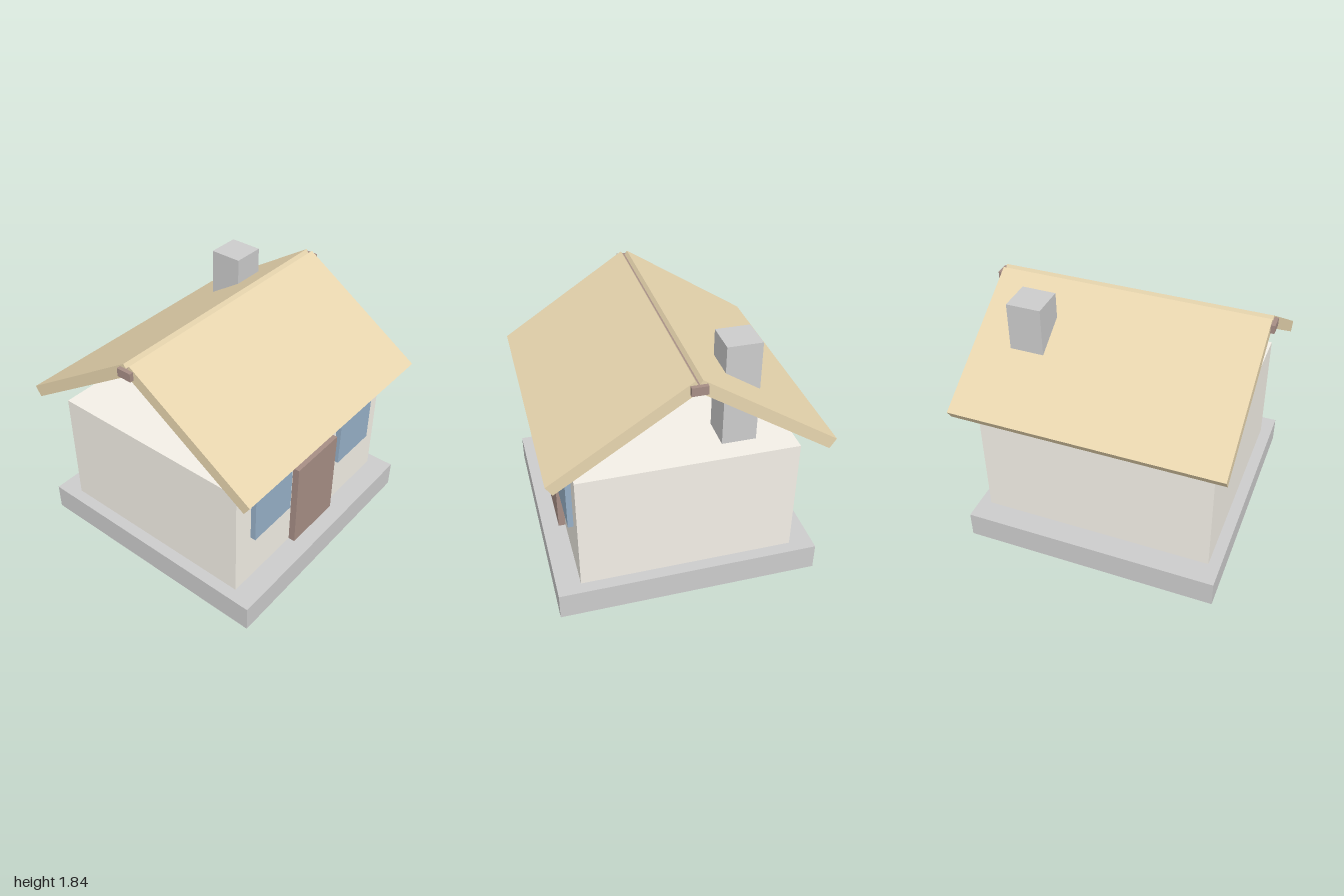
import * as THREE from 'three';

const mat = (color) => new THREE.MeshStandardMaterial({ color });

export function createModel() {
  const house = new THREE.Group();
  house.name = 'house';

  const stone = mat(0xcccccc);
  const plaster = mat(0xf3efe6);
  const wood = mat(0xa68e85);
  const glass = mat(0x97b0c7);
  const thatch = mat(0xe7d5ae);

  // Box given by its extents along each axis
  const block = (name, material, [x0, x1], [y0, y1], [z0, z1]) => {
    const mesh = new THREE.Mesh(new THREE.BoxGeometry(x1 - x0, y1 - y0, z1 - z0), material);
    mesh.position.set((x0 + x1) / 2, (y0 + y1) / 2, (z0 + z1) / 2);
    mesh.name = name;
    house.add(mesh);
    return mesh;
  };

  // Plinth and walls
  block('foundation', stone, [-0.943, 0.943], [0, 0.2], [-0.945, 0.945]);
  block('walls', plaster, [-0.857, 0.857], [0.2, 1.09], [-0.775, 0.775]);

  // Front door and the windows beside it
  block('door', wood, [-0.235, 0.235], [0.2, 0.893], [0.73, 0.825]);
  block('rightWindow', glass, [-0.7, -0.3], [0.593, 0.968], [0.74, 0.815]);
  block('leftWindow', glass, [0.3, 0.7], [0.593, 0.968], [0.74, 0.815]);

  // Chimney rising through the back slope
  block('chimney', stone, [0.453, 0.697], [1.09, 1.84], [-0.512, -0.268]);

  // Ridge beam
  block('ridgeBeam', wood, [-1, 1], [1.72, 1.78], [-0.055, 0.055]);

  // Two sloping roof slabs, mirrored front to back
  const slope = 0.576;
  for (const side of [1, -1]) {
    const slab = new THREE.Mesh(new THREE.BoxGeometry(1.943, 0.083, 1.127), thatch);
    slab.position.set(0, 1.467, side * 0.474);
    slab.rotation.x = side * slope;
    slab.name = side > 0 ? 'frontRoof' : 'backRoof';
    house.add(slab);
  }

  return house;
}
